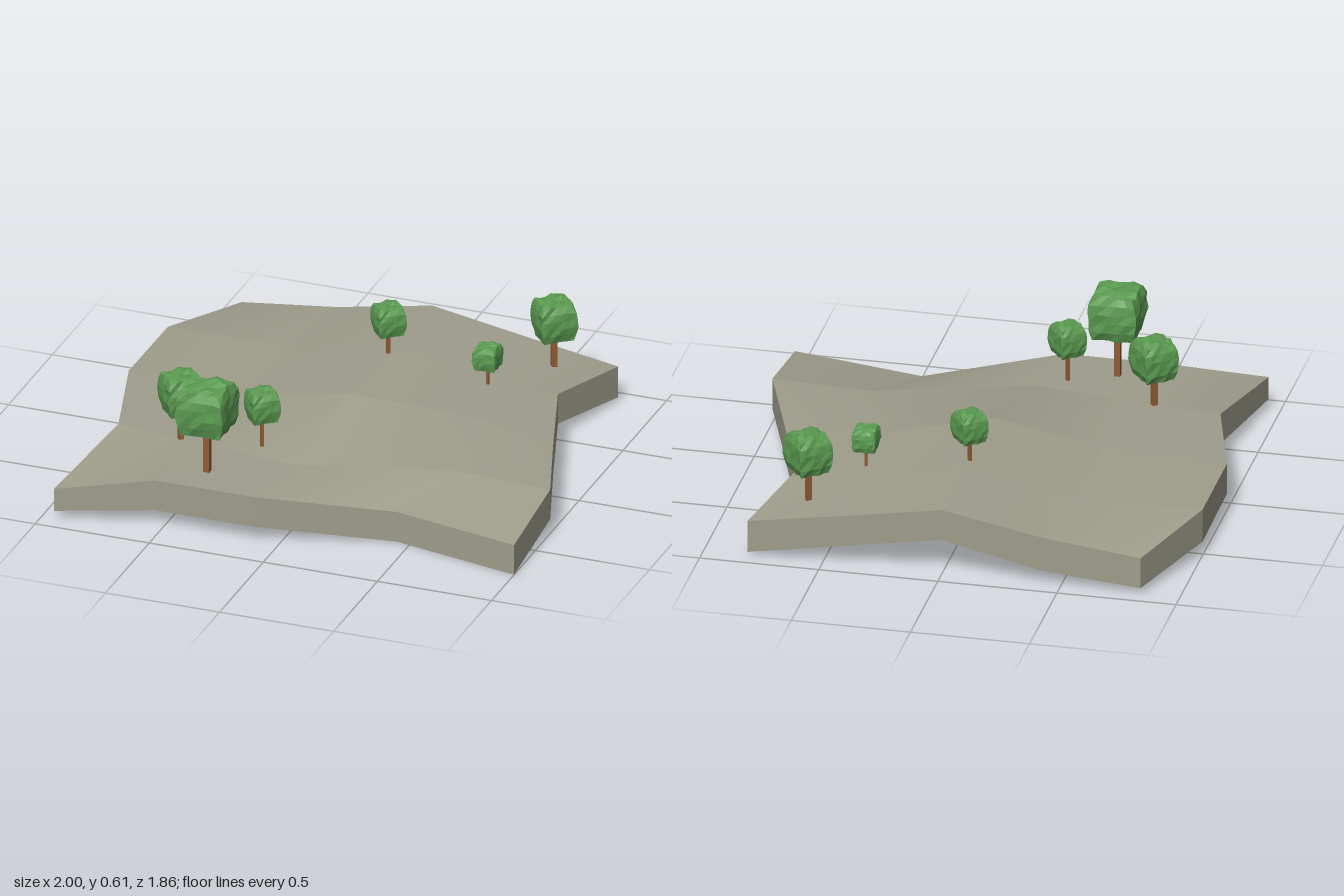
import * as THREE from 'three';
import { mergeGeometries } from 'three/addons/utils/BufferGeometryUtils.js';

const earth = new THREE.MeshStandardMaterial({ color: 0x9f9d8b });
const bark = new THREE.MeshStandardMaterial({ color: 0x8f5c34, flatShading: true });
const leaf = new THREE.MeshStandardMaterial({ color: 0x5c9c52, flatShading: true });

// Ground control grid: 5 rows from back to front, each point [x, y, z, thickness if unusual]
const THICKNESS = 0.135;
const GRID = [
  [[-0.835, 0.16, -0.93], [-0.42, 0.21, -0.93, 0.15], [0, 0.29, -0.93], [0.4, 0.222, -0.93], [0.815, 0.155, -0.93, 0.14]],
  [[-1, 0.207, -0.515, 0.145], [-0.47, 0.213, -0.51, 0.165], [0, 0.295, -0.51], [0.44, 0.222, -0.51, 0.16], [0.71, 0.2, -0.515]],
  [[-1, 0.21, -0.07], [-0.47, 0.212, -0.045, 0.155], [-0.02, 0.295, -0.03], [0.45, 0.228, -0.14, 0.15], [0.86, 0.2, -0.07]],
  [[-0.865, 0.205, 0.4], [-0.5, 0.203, 0.44], [-0.07, 0.205, 0.5], [0.58, 0.2, 0.305], [1, 0.2, 0.33]],
  [[-0.945, 0.137, 0.93, 0.1], [-0.54, 0.2, 0.83], [-0.11, 0.2, 0.83], [0.44, 0.135, 0.625], [1, 0.135, 0.743]],
];

// Smoothly twisted four-cornered patch, corners counter-clockwise from outside
function patch(a, b, c, d) {
  const steps = 6, positions = [], index = [];
  const mix = (p, q, t) => [0, 1, 2].map((k) => p[k] + (q[k] - p[k]) * t);
  for (let i = 0; i <= steps; i++) {
    for (let j = 0; j <= steps; j++) {
      positions.push(...mix(mix(a, b, i / steps), mix(d, c, i / steps), j / steps));
      if (i === steps || j === steps) continue;
      const p = i * (steps + 1) + j, q = p + steps + 1;
      index.push(p, q, p + 1, q, q + 1, p + 1);
    }
  }
  const g = new THREE.BufferGeometry();
  g.setAttribute('position', new THREE.Float32BufferAttribute(positions, 3));
  g.setIndex(index);
  g.computeVertexNormals();
  return g;
}

// Slab with a patched top, a matching underside and a skirt around the rim
function groundGeometry() {
  const n = GRID.length, patches = [];
  const under = ([x, y, z, t = THICKNESS]) => [x, y - t, z];
  for (let r = 0; r < n - 1; r++) {
    for (let c = 0; c < n - 1; c++) {
      const [a, b, d, e] = [GRID[r][c], GRID[r + 1][c], GRID[r + 1][c + 1], GRID[r][c + 1]];
      patches.push(patch(a, b, d, e), patch(under(a), under(e), under(d), under(b)));
    }
  }
  // rim runs front, right, back, left
  const last = n - 1;
  const rim = [
    ...GRID[last].slice(0, last),
    ...GRID.map((row) => row[last]).reverse().slice(0, last),
    ...[...GRID[0]].reverse().slice(0, last),
    ...GRID.map((row) => row[0]).slice(0, last),
  ];
  rim.forEach((a, i) => {
    const b = rim[(i + 1) % rim.length];
    patches.push(patch(a, under(a), under(b), b));
  });
  return mergeGeometries(patches);
}

// Repeatable noise in -0.5..0.5 from a position, so shared corners stay joined
function noise(x, y, z, k) {
  const s = Math.sin(x * 127.1 + y * 311.7 + z * 74.7 + k * 53.3) * 43758.5453;
  return s - Math.floor(s) - 0.5;
}

// Unit cube with swollen sides, a narrower base and a rough, notched top
function crownGeometry() {
  const g = new THREE.BoxGeometry(1, 1, 1, 5, 5, 5);
  const p = g.attributes.position;
  for (let i = 0; i < p.count; i++) {
    const [x, y, z] = [p.getX(i), p.getY(i), p.getZ(i)].map((v) => Math.round(v * 10) / 10);
    const waist = 1.03 - 0.19 * Math.pow(Math.abs(2 * y), 3);
    const drop = 1 - 0.4 * Math.max(0, x * x + z * z - 0.1) * (y > 0 ? 1 : 0.2);
    const notch = y === 0.5 && !(x > 0 && z < 0) ? 0.03 : 0;
    p.setXYZ(i,
      x * waist + 0.06 * noise(x, y, z, 1),
      y * drop - notch + (y > 0.4 ? 0.08 : 0.03) * noise(x, y, z, 2),
      z * waist + 0.06 * noise(x, y, z, 3));
  }
  g.computeVertexNormals();
  return g;
}

const TREES = [
  // x, z, trunk foot, crown bottom, crown top, crown width, trunk width, turn
  [-0.37, 0.675, 0.2, 0.39, 0.602, 0.198, 0.026, 0],
  [-0.58, 0.43, 0.2, 0.33, 0.502, 0.15, 0.022, 0.7],
  [-0.207, 0.475, 0.255, 0.375, 0.513, 0.117, 0.014, 0.7],
  [-0.007, -0.445, 0.29, 0.385, 0.517, 0.115, 0.014, 0.7],
  [0.427, -0.45, 0.22, 0.3, 0.406, 0.098, 0.01, 0],
  [0.598, -0.76, 0.19, 0.33, 0.502, 0.15, 0.022, 0.7],
];

export function createModel() {
  const model = new THREE.Group();
  model.name = 'groundWithTrees';

  const ground = new THREE.Mesh(groundGeometry(), earth);
  ground.name = 'ground';
  model.add(ground);

  const crownGeo = crownGeometry();
  const trunkGeo = new THREE.BoxGeometry(1, 1, 1);
  for (const [x, z, foot, low, high, width, trunkWidth, turn] of TREES) {
    const tree = new THREE.Group();
    tree.name = 'tree';
    tree.position.set(x, 0, z);
    tree.rotation.y = turn;

    const trunkTop = low + 0.03;
    const trunk = new THREE.Mesh(trunkGeo, bark);
    trunk.name = 'trunk';
    trunk.scale.set(trunkWidth, trunkTop - foot, trunkWidth);
    trunk.position.y = (foot + trunkTop) / 2;

    const crown = new THREE.Mesh(crownGeo, leaf);
    crown.name = 'crown';
    crown.scale.set(width, high - low, width);
    crown.position.y = (low + high) / 2;

    tree.add(trunk, crown);
    model.add(tree);
  }
  return model;
}
